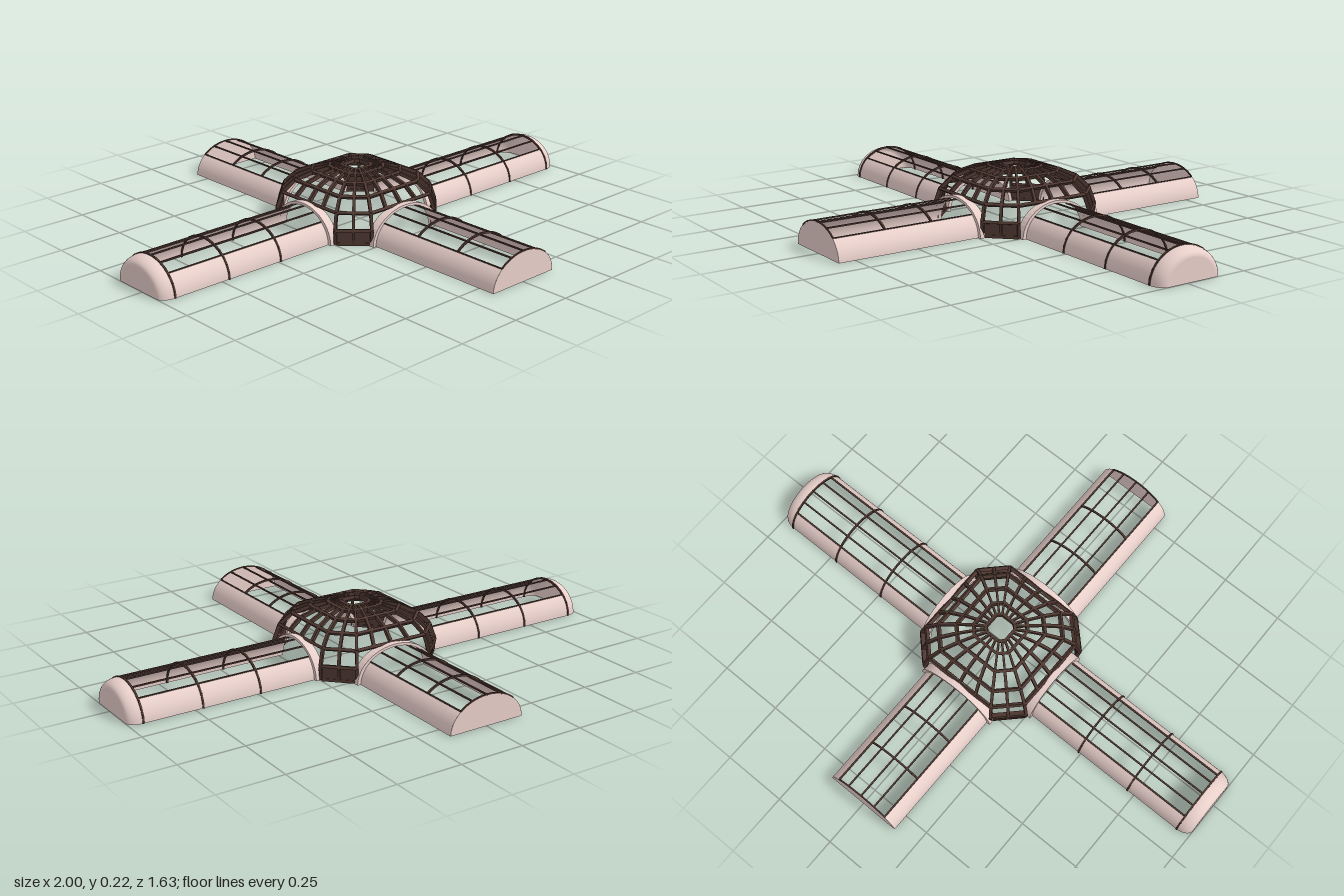
import * as THREE from 'three';
import { mergeGeometries } from 'three/addons/utils/BufferGeometryUtils.js';

const wallMat = new THREE.MeshStandardMaterial({ color: 0xe8cfca, side: THREE.DoubleSide });
const barMat = new THREE.MeshStandardMaterial({ color: 0x4e3730 });
const V = (x, y, z) => new THREE.Vector3(x, y, z);

const HEIGHT = 0.115;
const EAVE = Math.asin(0.08 / HEIGHT); // angle where the wall stops and the glazing starts

function addMesh(parent, name, geometry, material) {
  const mesh = new THREE.Mesh(geometry, material);
  mesh.name = name;
  parent.add(mesh);
}

// Box bar from a to b; up gives the direction of its depth
function bar(a, b, width, depth, up) {
  const dir = b.clone().sub(a);
  const length = dir.length();
  dir.normalize();
  const side = up.clone().cross(dir).normalize();
  const top = dir.clone().cross(side);
  const mid = a.clone().add(b).multiplyScalar(0.5);
  return new THREE.BoxGeometry(width, depth, length)
    .applyMatrix4(new THREE.Matrix4().makeBasis(side, top, dir).setPosition(mid));
}

// Smooth surface through rows of points
function loft(rows) {
  const n = rows[0].length, index = [];
  for (let i = 0; i < rows.length - 1; i++) {
    for (let j = 0; j < n - 1; j++) {
      const a = i * n + j, b = a + n;
      index.push(a, a + 1, b, b, a + 1, b + 1);
    }
  }
  const g = new THREE.BufferGeometry().setFromPoints(rows.flat());
  g.setIndex(index);
  g.computeVertexNormals();
  return g;
}

// Elliptical arch section at distance d
function arch(halfWidth, height, d, from = 0, to = Math.PI, steps = 24) {
  return Array.from({ length: steps + 1 }, (_, i) => {
    const a = from + (to - from) * i / steps;
    return V(halfWidth * Math.cos(a), height * Math.sin(a), d);
  });
}

function archRib(halfWidth, d, from, to, size) {
  const p = arch(halfWidth, HEIGHT, d, from, to, 14);
  return p.slice(1).map((q, i) => bar(p[i], q, size, size, V(q.x, q.y + 0.01, 0)));
}

function lunette(halfWidth, height, d) {
  const pts = arch(halfWidth, height, 0).map((p) => new THREE.Vector2(p.x, p.y));
  return new THREE.ShapeGeometry(new THREE.Shape(pts)).translate(0, 0, d);
}

// One vaulted wing running along +z
function makeWing({ halfWidth: w, end, ribs, rounded }) {
  const wing = new THREE.Group();
  const start = 0.235;

  // Side walls
  for (const [name, from, to] of [['leftWall', 0, EAVE], ['rightWall', Math.PI - EAVE, Math.PI]]) {
    addMesh(wing, name, loft([arch(w, HEIGHT, start, from, to, 10), arch(w, HEIGHT, end, from, to, 10)]), wallMat);
  }

  // End wall: rounded hood or flat lunette
  if (rounded) {
    const rows = [];
    for (let i = 0; i <= 8; i++) {
      const a = i / 8 * Math.PI / 2;
      const s = 1 - 0.25 * (1 - Math.cos(a));
      rows.push(arch(w * s, HEIGHT * s, end + 0.05 * Math.sin(a)));
    }
    addMesh(wing, 'roundedEnd', loft(rows), wallMat);
    addMesh(wing, 'endWall', lunette(w * 0.75, HEIGHT * 0.75, end + 0.05), wallMat);
  } else {
    addMesh(wing, 'endWall', lunette(w, HEIGHT, end), wallMat);
  }

  // Portal arch against the dome
  const portal = new THREE.Shape(arch(w + 0.014, HEIGHT + 0.01, 0).map((p) => new THREE.Vector2(p.x, p.y)));
  arch(w, HEIGHT, 0).reverse().forEach((p) => portal.lineTo(p.x, p.y));
  addMesh(wing, 'portalArch',
    new THREE.ExtrudeGeometry(portal, { depth: 0.035, bevelEnabled: false }).translate(0, 0, 0.232), wallMat);

  // Skylight bars along and across
  const bars = [];
  for (const c of [-Math.cos(EAVE), -0.4, 0, 0.4, Math.cos(EAVE)]) {
    const y = HEIGHT * Math.sqrt(1 - c * c) - 0.002;
    bars.push(bar(V(c * w, y, 0.25), V(c * w, y, end), 0.006, 0.005, V(0, 1, 0)));
  }
  for (const d of ribs) {
    const from = rounded ? 0 : EAVE;
    bars.push(...archRib(w, d, from, Math.PI - from, 0.007));
  }
  bars.push(...archRib(w, end - 0.002, EAVE, Math.PI - EAVE, 0.005));
  addMesh(wing, 'skylightBars', mergeGeometries(bars), barMat);
  return wing;
}

// Chamfered-square ring of unit directions: four steps per long side, two per corner
function domePlan() {
  const nodes = [];
  for (let q = 0; q < 4; q++) {
    const turn = (x, z) => (q === 0 ? [x, z] : q === 1 ? [-z, x] : q === 2 ? [-x, -z] : [z, -x]);
    for (let i = 0; i < 4; i++) nodes.push({ p: turn(0.25, -0.158 + 0.079 * i), corner: i === 0 });
    nodes.push({ p: turn(0.25, 0.158), corner: true });
    nodes.push({ p: turn(0.204, 0.204), corner: true });
  }
  return nodes;
}

function makeDome() {
  const dome = new THREE.Group();
  const plan = domePlan();
  const rings = [[0.99, 0.006], [1.02, 0.06], [0.95, 0.12], [0.79, 0.165], [0.56, 0.192], [0.34, 0.205], [0.18, 0.208]];
  const at = (i, r) => {
    const [x, z] = plan[i % plan.length].p;
    return V(x * rings[r][0], rings[r][1], z * rings[r][0]);
  };
  const outward = (a, b) => {
    const m = a.clone().add(b).multiplyScalar(0.5);
    return V(m.x, m.y * 1.6, m.z);
  };
  const ribs = [], hoops = [], panels = [];
  plan.forEach((node, i) => {
    const cornerSpan = node.corner && plan[(i + 1) % plan.length].corner;
    for (let r = 0; r < rings.length; r++) {
      const a = at(i, r);
      // Meridian ribs; those above the wings start over the portal
      if (r < rings.length - 1 && (node.corner || r >= 2)) {
        const b = at(i, r + 1);
        ribs.push(bar(a, b, r > 3 ? 0.008 : 0.011, 0.014, outward(a, b)));
      }
      // Hoops
      if (cornerSpan || r >= 2) {
        const b = at(i + 1, r);
        hoops.push(bar(a, b, 0.011, 0.014, outward(a, b)));
      }
    }
    // Solid base panels at the corners
    if (cornerSpan) {
      const a = at(i, 0).setY(0.031), b = at(i + 1, 0).setY(0.031);
      panels.push(bar(a, b, 0.062, 0.01, V(a.x + b.x, 0, a.z + b.z)));
    }
  });
  addMesh(dome, 'domeRibs', mergeGeometries(ribs), barMat);
  addMesh(dome, 'domeHoops', mergeGeometries(hoops), barMat);
  addMesh(dome, 'domeBasePanels', mergeGeometries(panels), barMat);
  return dome;
}

export function createModel() {
  const model = new THREE.Group();
  model.name = 'crossShapedHall';
  const centre = new THREE.Group();
  centre.name = 'hall';
  centre.position.z = -0.02;
  model.add(centre);

  const dome = makeDome();
  dome.name = 'dome';
  centre.add(dome);

  const side = { halfWidth: 0.137, end: 0.95, ribs: [0.49, 0.72, 0.948], rounded: true };
  const wings = [
    ['frontWing', { halfWidth: 0.152, end: 0.835, ribs: [0.44, 0.63] }],
    ['leftWing', side],
    ['backWing', { halfWidth: 0.152, end: 0.795, ribs: [0.43, 0.61] }],
    ['rightWing', side],
  ];
  wings.forEach(([name, options], k) => {
    const wing = makeWing(options);
    wing.name = name;
    wing.rotation.y = k * Math.PI / 2;
    centre.add(wing);
  });
  return model;
}
